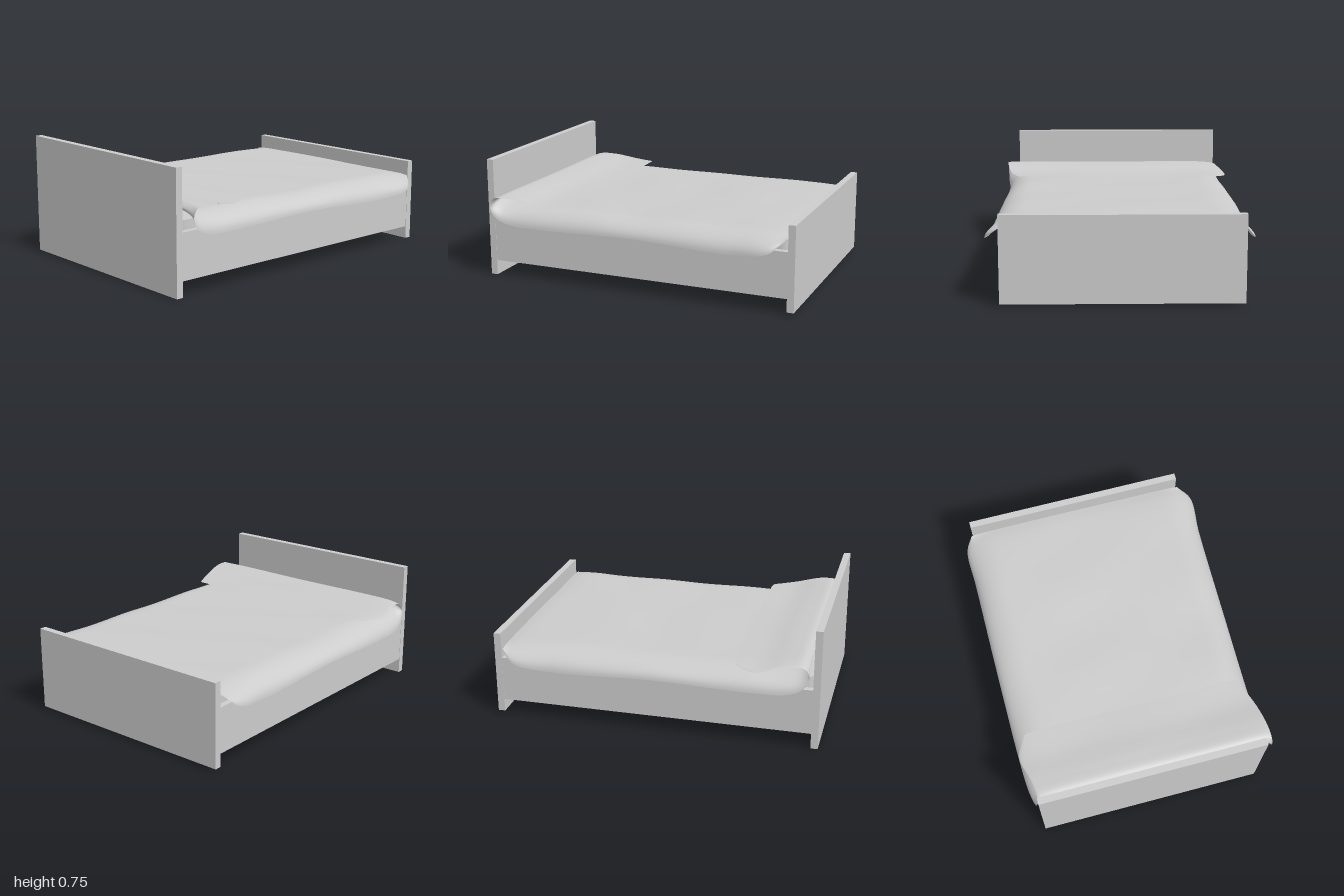
import * as THREE from 'three';

const grey = new THREE.MeshStandardMaterial({ color: 0xcccccc });
const cloth = new THREE.MeshStandardMaterial({ color: 0xcccccc, side: THREE.DoubleSide });

// Box given by its limits on each axis
function slab(name, [x0, x1], [y0, y1], [z0, z1]) {
  const mesh = new THREE.Mesh(new THREE.BoxGeometry(x1 - x0, y1 - y0, z1 - z0), grey);
  mesh.name = name;
  mesh.position.set((x0 + x1) / 2, (y0 + y1) / 2, (z0 + z1) / 2);
  return mesh;
}

// Mattress: rounded rectangle in plan, extruded upwards
function makeMattress() {
  const w = 0.66, l = 0.952, r = 0.07;
  const plan = new THREE.Shape();
  plan.absarc(w - r, l - r, r, 0, Math.PI / 2);
  plan.absarc(-w + r, l - r, r, Math.PI / 2, Math.PI);
  plan.absarc(-w + r, -l + r, r, Math.PI, Math.PI * 1.5);
  plan.absarc(w - r, -l + r, r, Math.PI * 1.5, Math.PI * 2);
  const geometry = new THREE.ExtrudeGeometry(plan, { depth: 0.21, bevelEnabled: false, curveSegments: 8 });
  geometry.rotateX(-Math.PI / 2);
  const mesh = new THREE.Mesh(geometry, grey);
  mesh.name = 'mattress';
  mesh.position.set(-0.015, 0.22, 0);
  return mesh;
}

const curve = (points) => new THREE.CatmullRomCurve3(points.map((p) => new THREE.Vector3(...p)));

// Duvet: a sheet swept from the foot to the head, where it folds back on itself.
// The middle line and both hems share the same parameter, and the cloth rounds over between them.
function makeDuvet() {
  const middle = curve([
    [0, 0.45, -0.945], [0, 0.46, -0.87], [0, 0.468, -0.6], [0, 0.464, 0], [0, 0.468, 0.5], [0, 0.468, 0.78],
    [0, 0.478, 0.89], [0, 0.503, 0.925], [0, 0.527, 0.89], [0, 0.522, 0.8], [0, 0.498, 0.65], [0, 0.49, 0.485],
  ]);
  const leftHem = curve([
    [0.7, 0.44, -0.94], [0.775, 0.375, -0.86], [0.765, 0.343, -0.62], [0.75, 0.36, 0], [0.745, 0.345, 0.6], [0.75, 0.352, 0.8],
    [0.765, 0.39, 0.9], [0.77, 0.45, 0.94], [0.77, 0.515, 0.92], [0.765, 0.528, 0.82], [0.73, 0.496, 0.64], [0.67, 0.486, 0.5],
  ]);
  const rightHem = curve([
    [-0.73, 0.44, -0.94], [-0.78, 0.375, -0.87], [-0.78, 0.343, -0.62], [-0.78, 0.36, 0], [-0.775, 0.345, 0.6], [-0.765, 0.35, 0.8],
    [-0.75, 0.38, 0.89], [-0.735, 0.44, 0.935], [-0.72, 0.5, 0.91], [-0.73, 0.51, 0.8], [-0.77, 0.475, 0.62], [-0.71, 0.486, 0.5],
  ]);
  const nu = 64, nv = 110, flat = 0.58;
  const positions = [], index = [];
  for (let j = 0; j <= nv; j++) {
    const t = j / nv;
    const m = middle.getPoint(t), hems = [rightHem.getPoint(t), leftHem.getPoint(t)];
    for (let i = 0; i <= nu; i++) {
      const u = (i / nu) * 2 - 1, side = Math.sign(u), hem = hems[u > 0 ? 1 : 0];
      const s = Math.max(0, (Math.abs(u) - 0.65) / 0.35) * Math.PI / 2;
      const drop = 1 - Math.cos(s);
      const x = s > 0 ? side * (flat + (Math.abs(hem.x) - flat) * Math.sin(s)) : (u / 0.65) * flat;
      const z = THREE.MathUtils.lerp(m.z, hem.z, drop);
      // Soft wrinkles, fading towards the hems
      const wrinkle = 0.003 * Math.sin(z * 11 + x * 2) * Math.cos(x * 4 + 0.6) * (1 - drop);
      positions.push(x, THREE.MathUtils.lerp(m.y, hem.y, drop) + wrinkle, z);
      if (i < nu && j < nv) {
        const a = j * (nu + 1) + i, b = a + nu + 1;
        index.push(a, b, a + 1, a + 1, b, b + 1);
      }
    }
  }
  const geometry = new THREE.BufferGeometry();
  geometry.setAttribute('position', new THREE.Float32BufferAttribute(positions, 3));
  geometry.setIndex(index);
  geometry.computeVertexNormals();
  const mesh = new THREE.Mesh(geometry, cloth);
  mesh.name = 'duvet';
  return mesh;
}

export function createModel() {
  const bed = new THREE.Group();
  bed.name = 'bed';
  const width = [-0.72, 0.69];
  bed.add(
    // Frame
    slab('headboard', width, [0, 0.745], [0.957, 1]),
    slab('footboard', width, [0.015, 0.535], [-1, -0.957]),
    slab('leftRail', [0.65, 0.688], [0.095, 0.375], [-0.957, 0.957]),
    slab('rightRail', [-0.718, -0.68], [0.095, 0.375], [-0.957, 0.957]),
    slab('basePanel', [-0.68, 0.65], [0.185, 0.22], [-0.957, 0.957]),
    // Bedding
    makeMattress(),
    makeDuvet(),
  );
  return bed;
}
